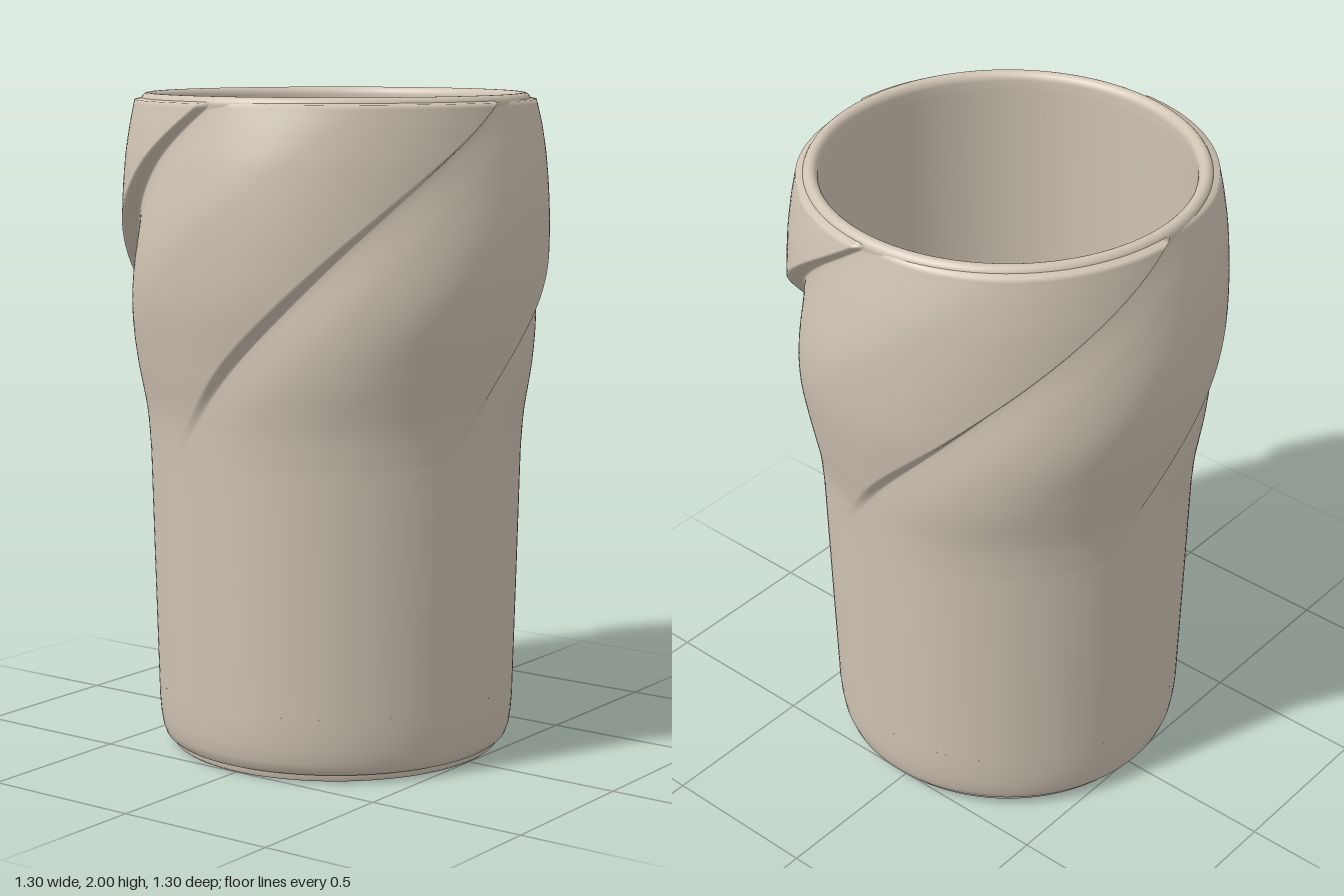
import * as THREE from 'three';

const clay = new THREE.MeshStandardMaterial({ color: 0xcfc3b3 });
clay.name = 'warm clay';
const dark = new THREE.MeshStandardMaterial({ color: 0x2c2a27 });
dark.name = 'dark seam';

// Smooth interpolation through [y, value] pairs
function curve(table, y) {
  const n = table.length;
  if (y <= table[0][0]) return table[0][1];
  if (y >= table[n - 1][0]) return table[n - 1][1];
  let k = 0;
  while (y > table[k + 1][0]) k++;
  const slope = (i) => {
    const a = table[Math.max(i - 1, 0)], b = table[Math.min(i + 1, n - 1)];
    return (b[1] - a[1]) / (b[0] - a[0]);
  };
  const [y0, v0] = table[k], [y1, v1] = table[k + 1];
  const h = y1 - y0, t = (y - y0) / h, t2 = t * t, t3 = t2 * t;
  return v0 * (2 * t3 - 3 * t2 + 1) + slope(k) * h * (t3 - 2 * t2 + t)
    + v1 * (3 * t2 - 2 * t3) + slope(k + 1) * h * (t3 - t2);
}

// Recessed radius, height of the folds and twist of the creases (degrees)
const BASE = [[0.2, 0.55], [0.6, 0.56], [1.0, 0.57], [1.2, 0.58], [1.5, 0.592], [1.8, 0.597], [1.9, 0.592], [1.98, 0.583]];
const SWELL = [[0.93, 0], [1.05, 0.006], [1.2, 0.026], [1.4, 0.05], [1.55, 0.054], [1.7, 0.048], [1.9, 0.03], [1.98, 0.023]];
const TWIST = [[0.9, -20], [1.0, -12], [1.2, 4], [1.4, 23], [1.6, 43], [1.8, 66], [1.98, 90]];

// Fold section: rises gently from one crease, then drops sharply at the next
const fold = (t) => THREE.MathUtils.smoothstep(t, -0.12, 0.5) * (1 - THREE.MathUtils.smoothstep(t, 0.955, 1))
  - 0.09 * (1 - THREE.MathUtils.smoothstep(t, 0, 0.2)) * (t < 1 ? 1 : 0);

function wallGeometry() {
  const columns = [];
  for (let i = 0; i < 36; i++) columns.push((i / 36) * 0.95);
  for (let i = 0; i < 10; i++) columns.push(0.95 + i * 0.005);
  const perTurn = columns.length * 4;
  const rows = [0.2, 0.4, 0.6, 0.8, 0.88];
  for (let j = 0; j <= 80; j++) rows.push(0.93 + (j / 80) * 1.05);

  const positions = [], index = [];
  const addRing = (y, inset) => {
    for (let q = 0; q < 4; q++) {
      for (const t of columns) {
        const phi = THREE.MathUtils.degToRad(curve(TWIST, y) + 90 * (q + t));
        const r = inset || curve(BASE, y) + curve(SWELL, y) * fold(t);
        positions.push(r * Math.sin(phi), y, r * Math.cos(phi));
      }
    }
  };
  rows.forEach((y) => addRing(y));
  addRing(1.986, 0.575); // closes the top of the folds under the rim
  for (let j = 0; j < rows.length; j++) {
    for (let i = 0; i < perTurn; i++) {
      const a = j * perTurn + i, b = j * perTurn + ((i + 1) % perTurn);
      index.push(a, b, a + perTurn, b, b + perTurn, a + perTurn);
    }
  }
  const g = new THREE.BufferGeometry();
  g.setAttribute('position', new THREE.Float32BufferAttribute(positions, 3));
  g.setIndex(index);
  g.computeVertexNormals();
  return g;
}

const lathe = (points) => new THREE.LatheGeometry(points.map(([r, y]) => new THREE.Vector2(r, y)), 128);

export function createModel() {
  const group = new THREE.Group();
  const add = (name, geometry, material = clay) => {
    const mesh = new THREE.Mesh(geometry, material);
    mesh.name = name;
    group.add(mesh);
    return mesh;
  };

  // Outer wall with four overlapping spiral folds
  add('spiralWall', wallGeometry());

  // Rounded lower edge above a small foot
  add('lowerEdge', lathe([[0.5, 0.022], [0.518, 0.024], [0.53, 0.035], [0.539, 0.06], [0.545, 0.1], [0.549, 0.15], [0.55, 0.2]]));
  add('foot', lathe([[0.497, 0], [0.505, 0.006], [0.505, 0.026]]));
  add('underside', new THREE.CircleGeometry(0.497, 128).rotateX(Math.PI / 2));

  // Rolled rim
  const rim = [[0.585, 1.96]];
  for (let i = 0; i <= 12; i++) {
    const a = (i / 12) * Math.PI;
    rim.push([0.5645 + 0.0225 * Math.cos(a), 1.974 + 0.026 * Math.sin(a)]);
  }
  rim.push([0.541, 1.95]);
  add('rim', lathe(rim));

  // Hollow inside, with a dark seam around the floor
  add('innerWall', lathe([[0.541, 1.95], [0.54, 1.0], [0.539, 0.13]]));
  add('innerSeam', lathe([[0.539, 0.13], [0.531, 0.09], [0.517, 0.067], [0.5, 0.06]]), dark);
  const floor = add('innerFloor', new THREE.CircleGeometry(0.5, 128).rotateX(-Math.PI / 2));
  floor.position.y = 0.06;

  return group;
}
